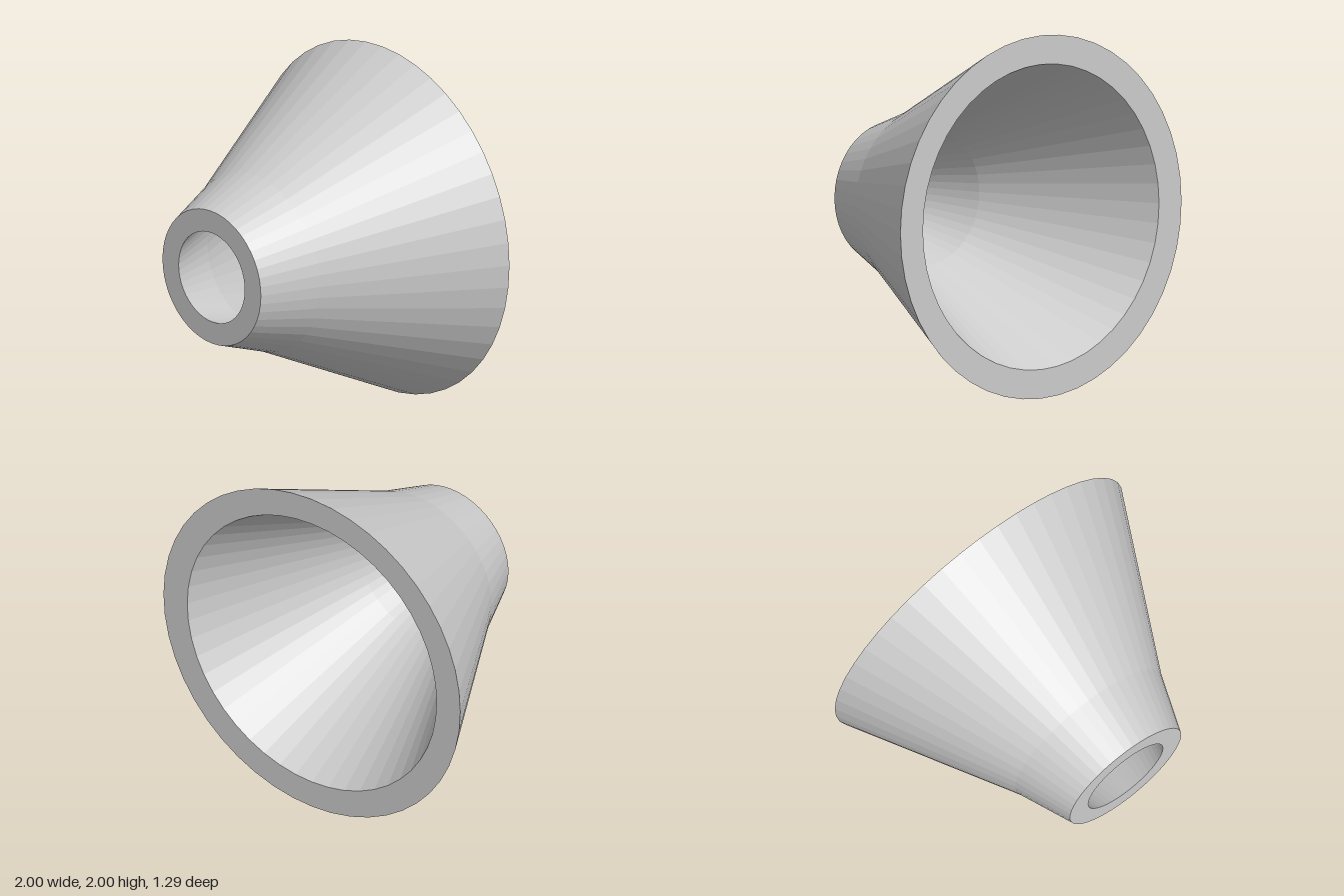
import * as THREE from 'three';

export function createModel() {
  const group = new THREE.Group();
  const material = new THREE.MeshStandardMaterial({ color: 0xcccccc, flatShading: true });

  // Closed wall profile as [radius, z]: wide rim, outer wall, narrow rim, inner bore
  const profile = [
    [0.84, -0.645], [1, -0.645], [0.51, 0.32], [0.387, 0.645],
    [0.26, 0.645], [0.37, 0.32], [0.84, -0.645],
  ].map(([r, z]) => new THREE.Vector2(r, z));

  // Hollow funnel, turned so its axis runs along z with the narrow end in front
  const geometry = new THREE.LatheGeometry(profile, 48);
  geometry.rotateX(Math.PI / 2);
  const funnel = new THREE.Mesh(geometry, material);
  funnel.name = 'funnelShell';
  funnel.position.y = 1;
  group.add(funnel);

  return group;
}
